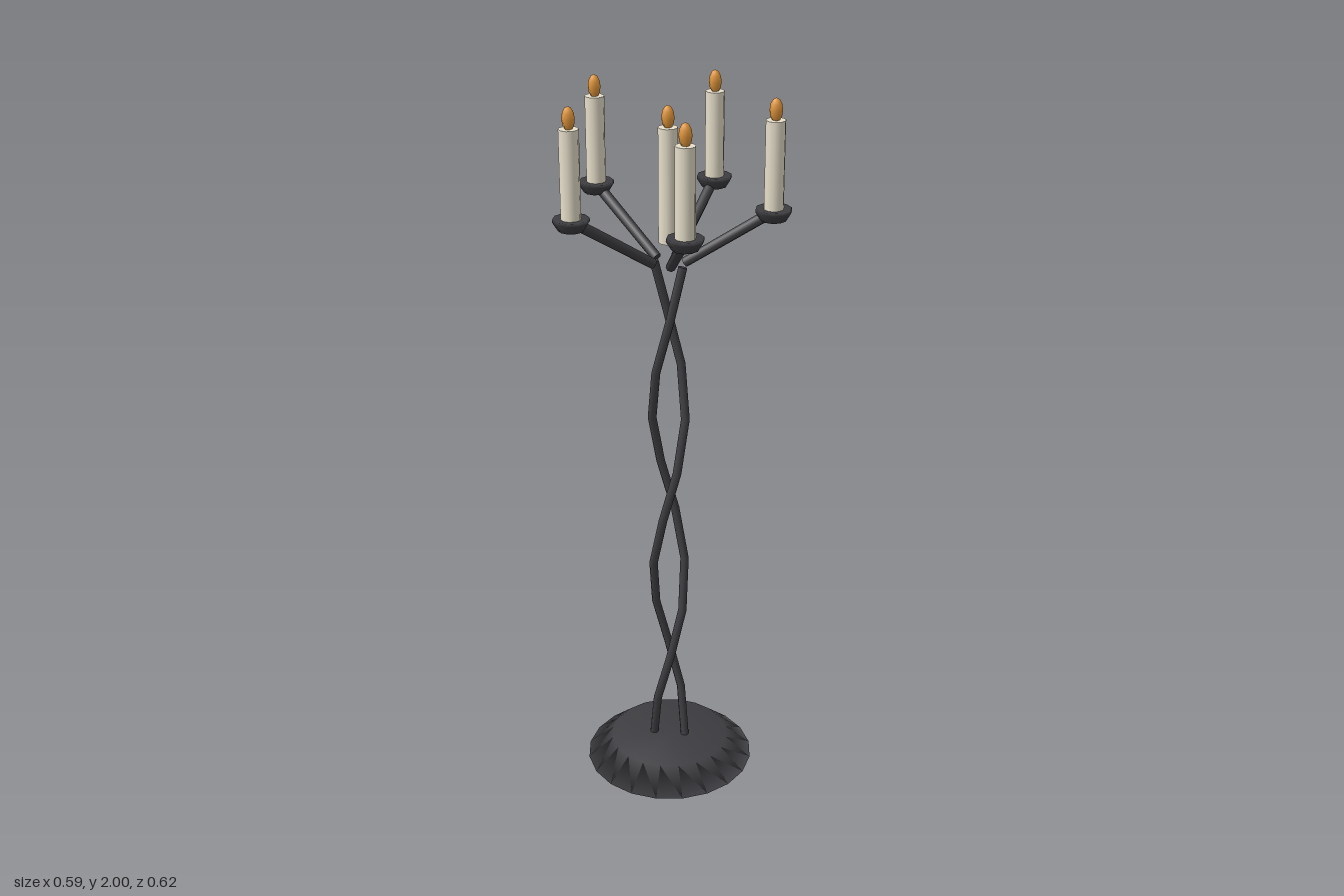
import * as THREE from 'three';

const iron = new THREE.MeshStandardMaterial({ color: 0x3e3e42 });
const wax = new THREE.MeshStandardMaterial({ color: 0xe8e0cc });
const fire = new THREE.MeshStandardMaterial({ color: 0xe0953a });
const AXIS_X = -0.03;

function add(parent, name, geometry, material) {
  const mesh = new THREE.Mesh(geometry, material);
  mesh.name = name;
  parent.add(mesh);
  return mesh;
}

// Straight rod between two points
function rod(parent, name, a, b, r0, r1) {
  const dir = b.clone().sub(a);
  const mesh = add(parent, name, new THREE.CylinderGeometry(r1, r0, dir.length(), 8), iron);
  mesh.position.copy(a).lerp(b, 0.5);
  mesh.quaternion.setFromUnitVectors(new THREE.Vector3(0, 1, 0), dir.normalize());
}

// Candle with its flame, standing on y = bottom
function candle(bottom, top) {
  const group = new THREE.Group();
  group.name = 'candle';
  const stick = add(group, 'candleStick', new THREE.CylinderGeometry(0.026, 0.026, top - bottom, 10), wax);
  stick.position.y = (bottom + top) / 2;
  const flame = add(group, 'flame', new THREE.SphereGeometry(0.017, 6, 6), fire);
  flame.scale.y = 1.85;
  flame.position.y = top + 0.025;
  return group;
}

// Angular helix strand made of straight steps, seven steps to a turn
function strand(phase) {
  const steps = 10, y0 = 0.06, y1 = 1.55, radius = 0.046, thick = 0.012;
  const points = [];
  for (let i = 0; i <= steps; i++) {
    const t = phase + (i * Math.PI * 2) / 7;
    points.push(new THREE.Vector3(radius * Math.cos(t), y0 + ((y1 - y0) * i) / steps, -radius * Math.sin(t)));
  }
  const path = new THREE.CurvePath();
  for (let i = 0; i < steps; i++) path.add(new THREE.LineCurve3(points[i], points[i + 1]));
  const group = new THREE.Group();
  group.name = 'stemStrand';
  add(group, 'strandTube', new THREE.TubeGeometry(path, steps, thick, 8, false), iron);
  // Cap on the upper end
  const cap = add(group, 'strandCap', new THREE.CircleGeometry(thick, 8), iron);
  cap.position.copy(points[steps]);
  cap.quaternion.setFromUnitVectors(
    new THREE.Vector3(0, 0, 1),
    points[steps].clone().sub(points[steps - 1]).normalize()
  );
  return group;
}

export function createModel() {
  const model = new THREE.Group();
  model.name = 'candelabra';
  const stand = new THREE.Group();
  stand.name = 'stand';
  stand.position.x = AXIS_X;
  model.add(stand);

  // Sloped foot with soft shading
  const foot = [[0, 0], [0.243, 0], [0.17, 0.063], [0, 0.063]].map(([x, y]) => new THREE.Vector2(x, y));
  add(stand, 'base', new THREE.LatheGeometry(foot, 20), iron);

  // Twisted stem
  stand.add(strand(0), strand(Math.PI));

  // Five branches, each with a cup and a candle
  const cupProfile = [[0, 1.683], [0.034, 1.685], [0.048, 1.708], [0.047, 1.716], [0, 1.712]]
    .map(([x, y]) => new THREE.Vector2(x, y));
  for (let i = 0; i < 5; i++) {
    const branch = new THREE.Group();
    branch.name = 'branch';
    branch.rotation.y = (i * Math.PI * 2) / 5;
    stand.add(branch);
    rod(branch, 'arm', new THREE.Vector3(0.043, 1.557, 0), new THREE.Vector3(0.255, 1.696, 0), 0.0135, 0.0145);
    const cup = add(branch, 'cup', new THREE.LatheGeometry(cupProfile, 10), iron);
    const light = candle(1.705, 1.945);
    cup.position.x = light.position.x = 0.273;
    // Cups and candles all face the same way
    cup.rotation.y = light.rotation.y = -branch.rotation.y;
    branch.add(light);
  }

  // Centre candle
  stand.add(candle(1.61, 1.915));
  return model;
}
